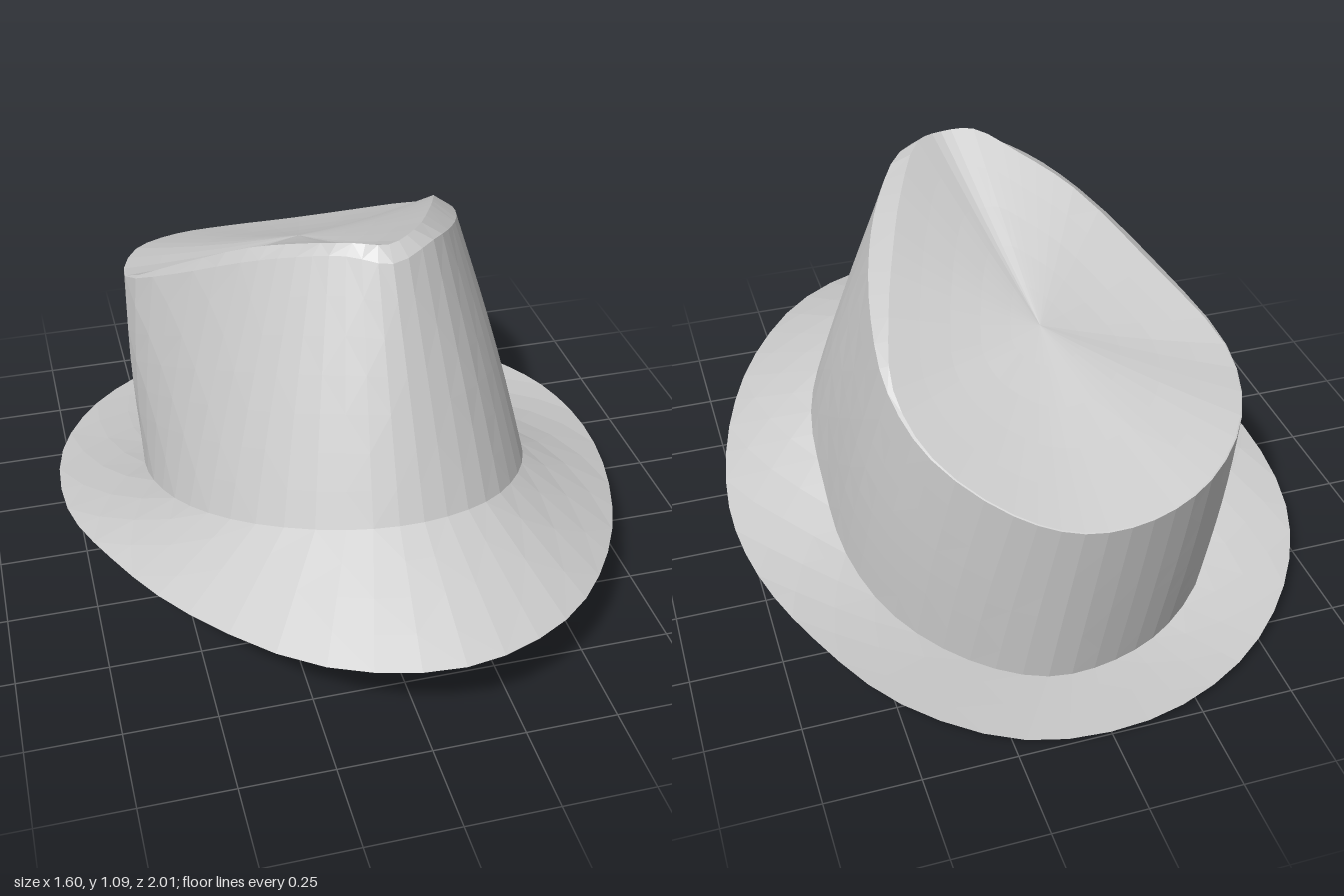
import * as THREE from 'three';

const COLUMNS = 51;

// Closed smooth loop through a few points, sampled evenly per station
function loop(points) {
  const curve = new THREE.CatmullRomCurve3(points.map(p => new THREE.Vector3(...p)), true, 'centripetal');
  return Array.from({ length: COLUMNS }, (_, i) => curve.getPoint(i / COLUMNS));
}

// Surface from a lower/outer loop to an upper/inner loop; bulge pushes the middle along y and outward
function skin(name, from, to, rows, lift = 0, swell = 0) {
  const pos = [], index = [];
  for (let r = 0; r <= rows; r++) {
    const t = r / rows, arch = Math.sin(Math.PI * t);
    for (let i = 0; i < COLUMNS; i++) {
      const p = from[i].clone().lerp(to[i], t);
      pos.push(p.x * (1 + swell * arch), p.y + lift * arch, p.z);
    }
  }
  for (let r = 0; r < rows; r++) {
    for (let i = 0; i < COLUMNS; i++) {
      const j = (i + 1) % COLUMNS;
      const a = r * COLUMNS + i, b = r * COLUMNS + j, c = b + COLUMNS, d = a + COLUMNS;
      // alternate the diagonals for an even facet pattern
      if ((r + i) % 2) index.push(a, b, c, a, c, d);
      else index.push(a, b, d, b, c, d);
    }
  }
  const geometry = new THREE.BufferGeometry();
  geometry.setAttribute('position', new THREE.Float32BufferAttribute(pos, 3));
  geometry.setIndex(index);
  geometry.computeVertexNormals();
  const mesh = new THREE.Mesh(geometry, new THREE.MeshStandardMaterial({
    color: 0xcccccc, flatShading: true, side: THREE.DoubleSide,
  }));
  mesh.name = name;
  return mesh;
}

export function createModel() {
  // All loops start at the front and run by the left side to the back
  const brimEdge = loop([
    [.08, .27, 1], [.38, .26, .89], [.6, .235, .64], [.74, .205, .32], [.8, .17, -.02], [.77, .145, -.3],
    [.67, .11, -.55], [.5, .065, -.8], [.22, .02, -.97], [-.1, .02, -1], [-.4, .03, -.89], [-.63, .06, -.68],
    [-.77, .09, -.4], [-.79, .13, -.05], [-.7, .175, .26], [-.54, .215, .58], [-.25, .255, .9],
  ]);
  const crownBase = loop([
    [.08, .43, .625], [.27, .41, .56], [.42, .36, .4], [.51, .3, .19], [.53, .22, -.05], [.52, .14, -.28],
    [.44, .08, -.5], [.28, .03, -.67], [.09, .005, -.765], [-.1, .005, -.76], [-.28, .02, -.69], [-.45, .06, -.53],
    [-.53, .12, -.28], [-.535, .2, -.03], [-.47, .29, .23], [-.33, .37, .45], [-.12, .42, .595],
  ]);
  const crownRim = loop([
    [.06, 1.05, .36], [.19, 1.06, .28], [.29, 1.01, .13], [.36, .95, -.04], [.41, .87, -.25], [.42, .78, -.45],
    [.36, .69, -.63], [.2, .6, -.79], [.04, .56, -.86], [-.14, .56, -.86], [-.32, .59, -.79], [-.47, .64, -.63],
    [-.535, .69, -.38], [-.43, .82, -.13], [-.28, .96, .1], [-.16, 1.03, .23], [-.05, 1.06, .31],
  ]);
  const panelEdge = loop([
    [.06, 1.085, .32], [.14, 1.09, .27], [.24, 1.04, .08], [.31, .975, -.1], [.37, .89, -.28], [.405, .785, -.45],
    [.355, .692, -.628], [.198, .602, -.787], [.04, .562, -.856], [-.14, .562, -.856], [-.318, .592, -.787], [-.467, .642, -.628],
    [-.53, .693, -.378], [-.4, .84, -.15], [-.25, .985, .07], [-.13, 1.05, .2], [-.03, 1.09, .3],
  ]);
  const panelCentre = panelEdge.map(() => new THREE.Vector3(-.03, .8, -.3));

  const hat = new THREE.Group();
  hat.name = 'hat';
  hat.add(
    skin('brim', brimEdge, crownBase, 4),
    skin('crownWall', crownBase, crownRim, 7, 0, .02),
    skin('crownBevel', crownRim, panelEdge, 1),
    skin('crownTop', panelEdge, panelCentre, 5, -.01),
  );
  return hat;
}
